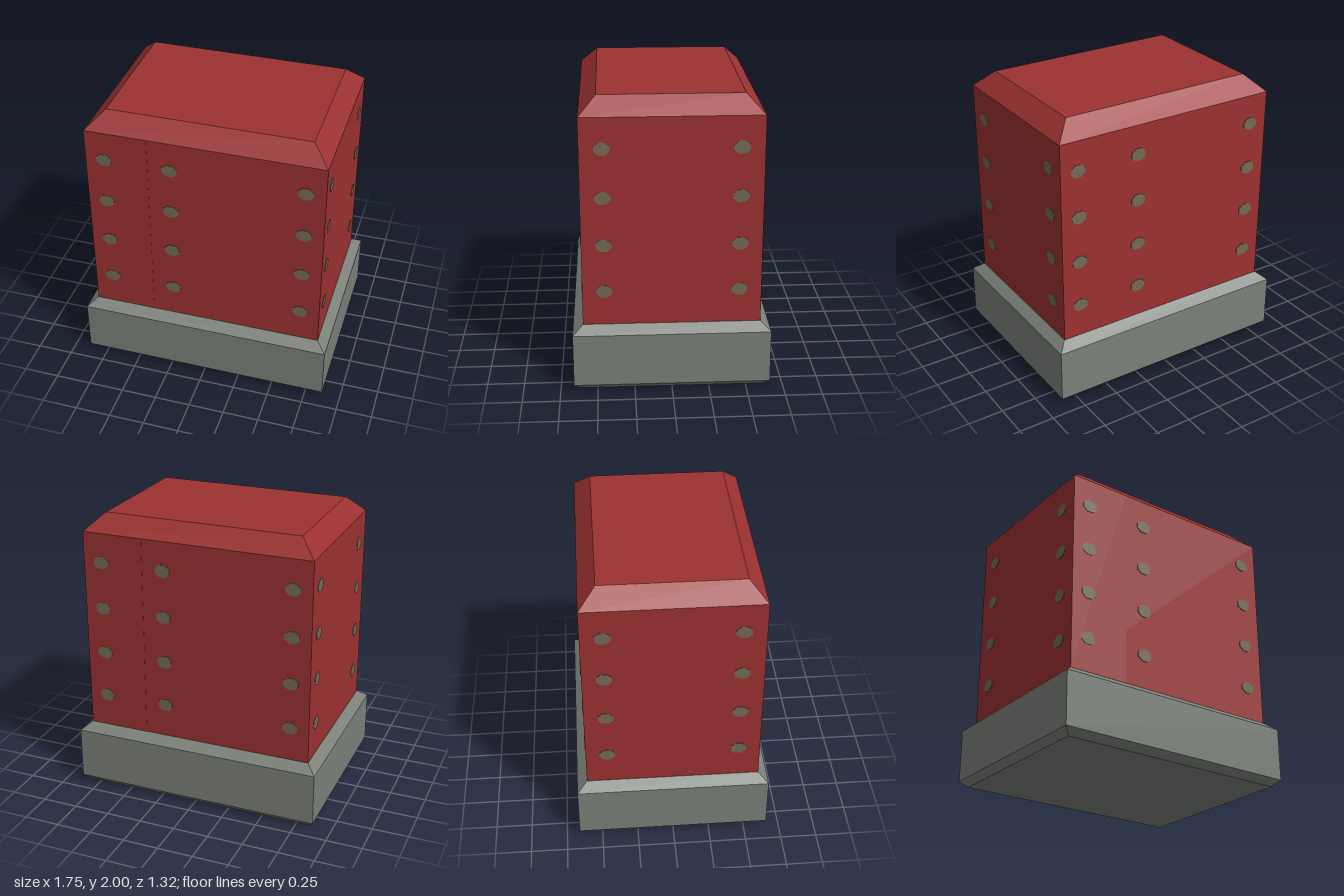
import * as THREE from 'three';

// Closed solid through rectangular sections [halfX, halfZ, y], bottom to top
function loft(sections) {
  const pos = [];
  const ring = ([x, z, y]) => [[-x, y, z], [x, y, z], [x, y, -z], [-x, y, -z]];
  const quad = (a, b, c, d) => pos.push(...a, ...b, ...c, ...a, ...c, ...d);
  const rings = sections.map(ring);
  for (let i = 0; i < rings.length - 1; i++) {
    for (let k = 0; k < 4; k++) {
      const n = (k + 1) % 4;
      quad(rings[i][k], rings[i][n], rings[i + 1][n], rings[i + 1][k]);
    }
  }
  const b = rings[0], t = rings[rings.length - 1];
  quad(b[3], b[2], b[1], b[0]);
  quad(t[0], t[1], t[2], t[3]);
  const geo = new THREE.BufferGeometry();
  geo.setAttribute('position', new THREE.Float32BufferAttribute(pos, 3));
  geo.computeVertexNormals();
  return geo;
}

function material(name, color) {
  const m = new THREE.MeshStandardMaterial({ color });
  m.name = name;
  return m;
}

export function createModel() {
  const model = new THREE.Group();
  const red = material('red paint', 0x9c3131);
  const grey = material('grey metal', 0x7b8079);
  const olive = material('rivet metal', 0x746b57);
  const add = (name, geo, mat, parent = model) => {
    const mesh = new THREE.Mesh(geo, mat);
    mesh.name = name;
    parent.add(mesh);
    return mesh;
  };

  // Bevelled plinth and cabinet with a bevelled top
  add('base', loft([[0.83, 0.615, 0], [0.876, 0.66, 0.045], [0.876, 0.66, 0.41], [0.81, 0.592, 0.465]]), grey);
  add('body', loft([[0.808, 0.591, 0.465], [0.808, 0.591, 1.885], [0.69, 0.475, 2]]), red);

  // Shallow corner strip and rivet columns, repeated on front and back by a half turn
  const rivetGeo = new THREE.CylinderGeometry(0.046, 0.046, 0.006, 8);
  rivetGeo.rotateY(Math.PI / 8);
  rivetGeo.rotateX(Math.PI / 2);
  rivetGeo.scale(1.22, 1, 1);
  const stripGeo = new THREE.BoxGeometry(0.428, 1.42, 0.004);
  for (const turn of [0, Math.PI]) {
    const half = new THREE.Group();
    half.name = turn ? 'backDetails' : 'frontDetails';
    half.rotation.y = turn;
    model.add(half);
    add('cornerStrip', stripGeo, red, half).position.set(-0.594, 1.175, 0.591);
    for (const y of [0.7, 1.025, 1.352, 1.68]) {
      for (const x of [-0.68, -0.23, 0.675]) {
        add('faceRivet', rivetGeo, olive, half).position.set(x, y, 0.593);
      }
      for (const z of [-0.445, 0.445]) {
        const rivet = add('sideRivet', rivetGeo, olive, half);
        rivet.position.set(0.808, y, z);
        rivet.rotation.y = Math.PI / 2;
      }
    }
  }
  return model;
}
